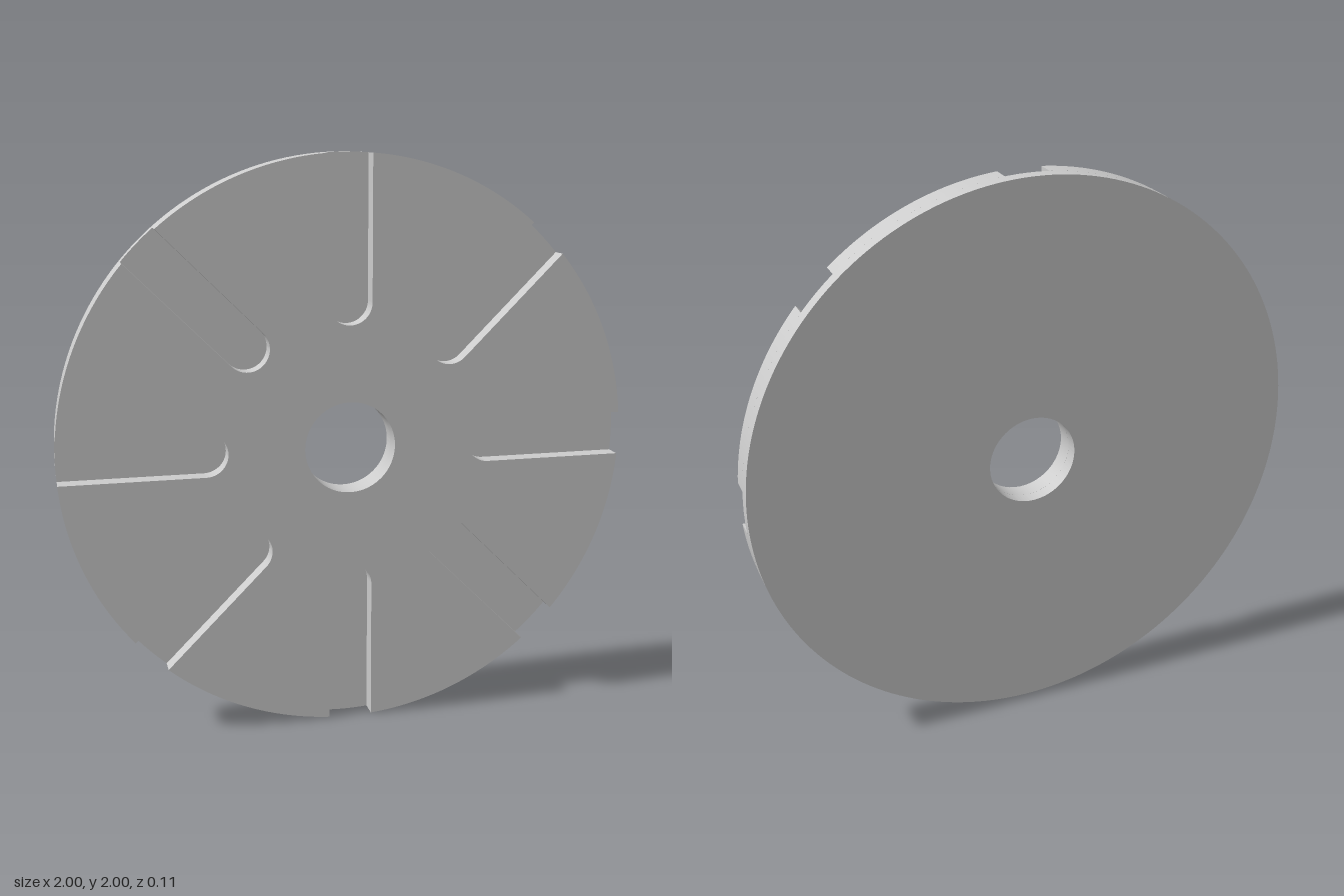
import * as THREE from 'three';
import { toCreasedNormals } from 'three/addons/utils/BufferGeometryUtils.js';

const RIM = 1, HOLE = 0.16;
const BACK = -0.055, FLOOR = -0.008, FRONT = 0.055;
const SLOTS = 8, SLOT_HALF = 0.077, SLOT_START = 0.502;

const material = new THREE.MeshStandardMaterial({ color: 0xcccccc });

// Extrudes an outline with the centre bore between two depths
function layer(name, shape, z0, z1, curveSegments) {
  const bore = new THREE.Path();
  bore.absarc(0, 0, HOLE, 0, Math.PI * 2, true);
  shape.holes.push(bore);
  const geometry = new THREE.ExtrudeGeometry(shape, {
    depth: z1 - z0, bevelEnabled: false, curveSegments,
  });
  geometry.translate(0, 0, z0);
  const mesh = new THREE.Mesh(toCreasedNormals(geometry, 0.5), material);
  mesh.name = name;
  return mesh;
}

// Disc outline cut by round-ended radial slots that open through the rim
function slottedOutline() {
  const shape = new THREE.Shape();
  const step = (Math.PI * 2) / SLOTS;
  const gap = Math.asin(SLOT_HALF / RIM);
  for (let i = 0; i < SLOTS; i++) {
    const a = i * step;
    shape.absarc(Math.cos(a) * SLOT_START, Math.sin(a) * SLOT_START, SLOT_HALF,
      a - Math.PI / 2, a + Math.PI / 2, true);
    shape.absarc(0, 0, RIM, a + gap, a + step - gap, false);
  }
  return shape;
}

export function createModel() {
  const group = new THREE.Group();
  group.name = 'slottedDisc';

  // Solid back plate, whose front face is the floor of the slots
  const disc = new THREE.Shape();
  disc.absarc(0, 0, RIM, 0, Math.PI * 2, false);
  group.add(layer('backPlate', disc, BACK, FLOOR, 96));

  // Slotted front face
  group.add(layer('slottedFace', slottedOutline(), FLOOR, FRONT, 24));

  group.position.y = RIM;
  return group;
}
